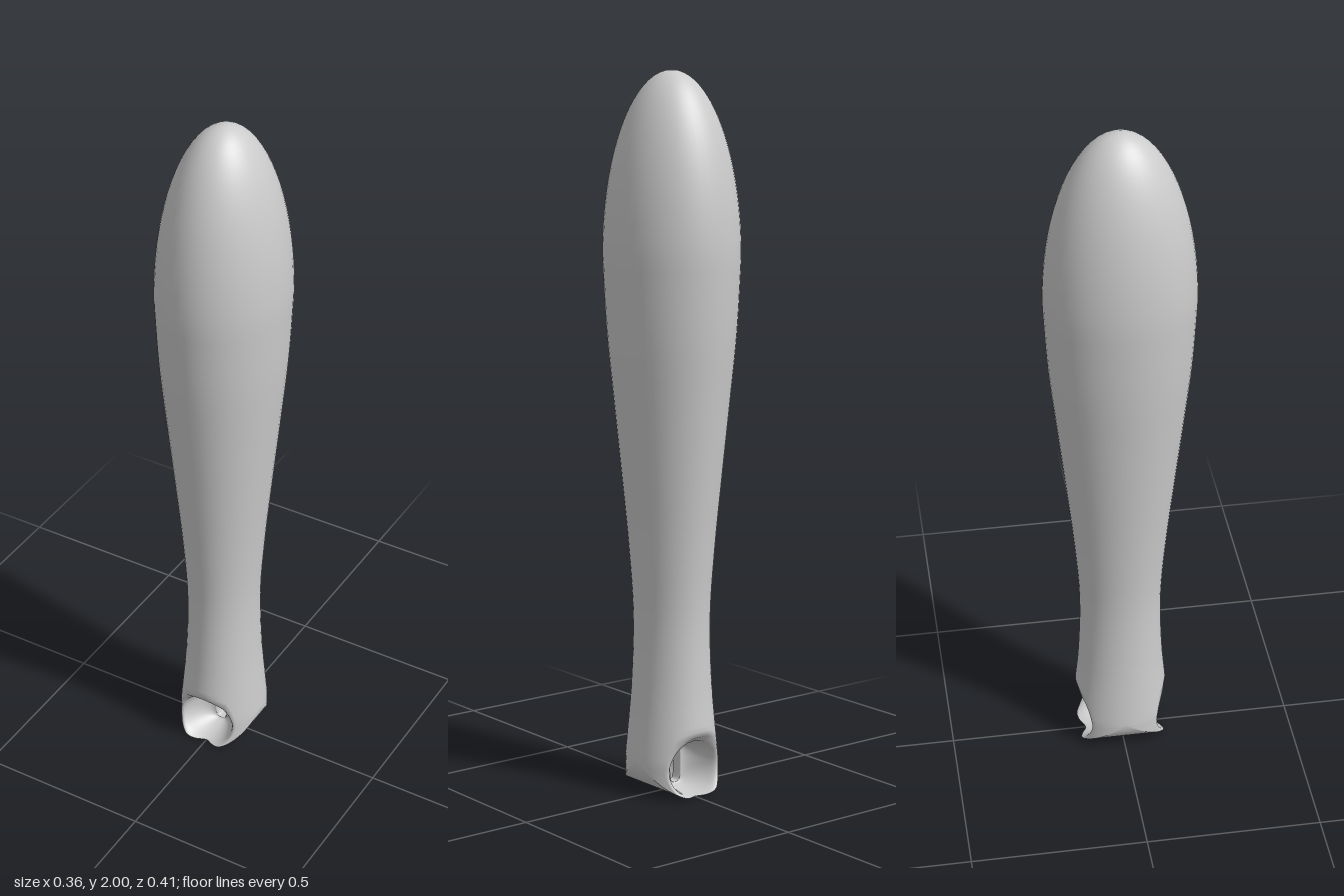
import * as THREE from 'three';
import { mergeGeometries, mergeVertices } from 'three/addons/utils/BufferGeometryUtils.js';

const DEPTH = 1.16;      // depth to width ratio of the oval section
const NECK = 0.3;        // height where the plain grip meets the pierced end
const THROAT = 0.015;    // half thickness of the web around the slot

// Half width of the grip from y = 0.1 to 1.5, closed by an elliptical dome
const flank = new THREE.CatmullRomCurve3(
  [0.122, 0.106, 0.101, 0.113, 0.131, 0.15, 0.168, 0.178].map((w, i) => new THREE.Vector3(w, 0.1 + 0.2 * i, 0)),
  false, 'catmullrom');
function halfWidth(y) {
  if (y > 1.5) return 0.178 * Math.sqrt(Math.max(0, 1 - ((y - 1.5) / 0.5) ** 2));
  return flank.getPoint(Math.max(0, (y - 0.1) / 1.4)).x;
}

// Grid surface from f(u, v) with u and v in 0..1
function grid(nu, nv, f) {
  const pos = [], index = [];
  for (let i = 0; i <= nu; i++) {
    for (let j = 0; j <= nv; j++) {
      pos.push(...f(i / nu, j / nv));
      if (i < nu && j < nv) {
        const a = i * (nv + 1) + j, b = a + nv + 1;
        index.push(a, b, b + 1, a, b + 1, a + 1);
      }
    }
  }
  const g = new THREE.BufferGeometry();
  g.setAttribute('position', new THREE.Float32BufferAttribute(pos, 3));
  g.setIndex(index);
  return g;
}

// Closed curves in the xy plane around the hole, t = 0..1 counterclockwise
const signedRoot = (v) => Math.sign(v) * Math.sqrt(Math.abs(v));
function slot(t) {
  const a = t * Math.PI * 2;
  return [0.017 * signedRoot(Math.cos(a)), 0.073 + 0.0525 * signedRoot(Math.sin(a))];
}
function rim(t) {
  const a = t * Math.PI * 2;
  return [0.083 * Math.cos(a), 0.08 + 0.078 * Math.sin(a)];
}
function outline(t) {
  if (t >= 0.5) {                                   // rounded bottom
    const a = t * Math.PI * 2;
    return [0.122 * Math.cos(a), 0.1 + 0.1 * Math.sin(a)];
  }
  if (t > 0.125 && t < 0.375) {                     // straight top edge
    return [halfWidth(NECK) * Math.cos((t - 0.125) * 4 * Math.PI), NECK];
  }
  const y = 0.1 + (NECK - 0.1) * Math.min(t, 0.5 - t) * 8;   // flanks
  return [halfWidth(y) * (t < 0.25 ? 1 : -1), y];
}

// Front surface height: oval body softly cut by the hollow around the slot
function frontZ(x, y, hollow) {
  const w = halfWidth(y);
  const body = DEPTH * w * Math.sqrt(Math.max(0, 1 - (x / w) ** 2));
  const k = 0.03, h = Math.max(0, k - Math.abs(body - hollow)) / k;
  return Math.max(0, Math.min(body, hollow) - h * h * k / 4);
}
const mix = (p, q, s) => [p[0] + (q[0] - p[0]) * s, p[1] + (q[1] - p[1]) * s];
function facePoint(s, t) {
  const r = rim(t);
  let p, hollow;
  if (s <= 0.5) {
    const u = s * 2;
    p = mix(slot(t), r, u);
    hollow = THROAT + (0.1 - THROAT) * u * u;
  } else {
    const v = 2 - s * 2;
    p = mix(r, outline(t), 1 - v * v);
    hollow = 0.1 + 2 * Math.hypot(p[0] - r[0], p[1] - r[1]);
  }
  return [p[0], p[1], frontZ(p[0], p[1], hollow)];
}

export function createModel() {
  const group = new THREE.Group();

  // Plain oval grip with domed top
  const grip = grid(48, 48, (u, v) => {
    const y = v < 0.6 ? NECK + (1.5 - NECK) * v / 0.6 : 1.5 + 0.5 * Math.sin((v - 0.6) / 0.4 * Math.PI / 2);
    const w = halfWidth(y), a = u * Math.PI * 2;
    return [w * Math.cos(a), y, -DEPTH * w * Math.sin(a)];
  });

  // Hollowed front and back faces of the pierced end
  const front = grid(32, 96, facePoint);
  const back = front.clone().rotateY(Math.PI);

  // Wall of the slot, and the underside joining front to back
  const slotWall = grid(2, 96, (u, v) => [...slot(v), THROAT * (2 * u - 1)]);
  const underside = grid(48, 6, (u, v) => {
    const [x, y, z] = facePoint(1, 0.5 + u / 2);
    return [x, y, z * (2 * v - 1)];
  });

  const geometry = mergeVertices(mergeGeometries([grip, front, back, slotWall, underside]), 1e-4);
  geometry.computeVertexNormals();
  const handle = new THREE.Mesh(geometry, new THREE.MeshStandardMaterial({ color: 0xcccccc }));
  handle.name = 'handle';
  group.add(handle);
  return group;
}
